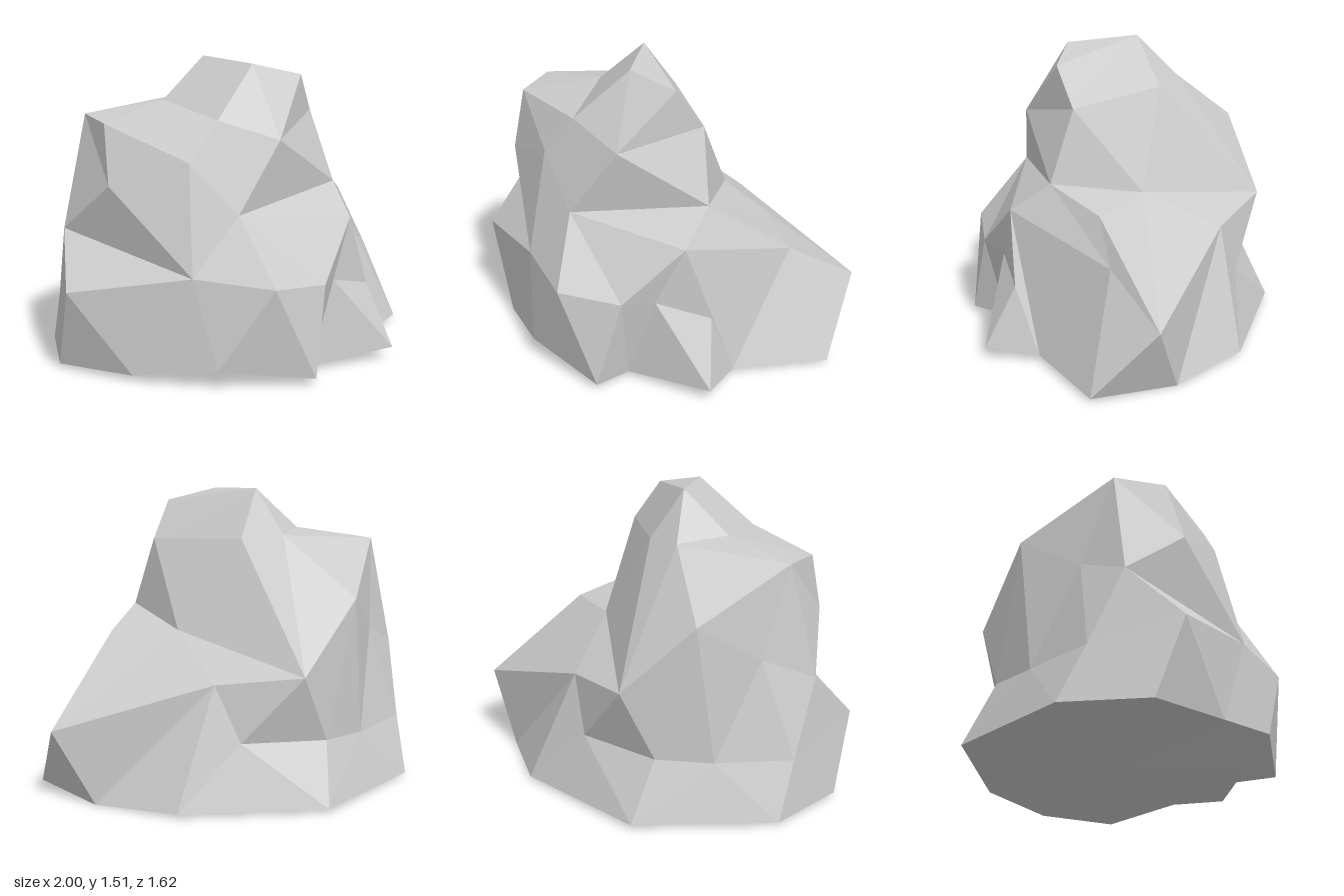
import * as THREE from 'three';

// Cross-sections of the boulder, each running from the right (+x) round the front (+z).
const base = [
  [0.82, 0, -0.17], [0.94, 0.02, 0.26], [0.5, 0.03, 0.48], [0.45, 0.06, 0.75],
  [0, 0.02, 0.64], [-0.11, 0.03, 0.81], [-0.53, 0.09, 0.59], [-0.79, 0.03, 0.25],
  [-0.97, 0.02, -0.14], [-0.79, 0.02, -0.53], [-0.13, 0.02, -0.81], [0.55, 0.02, -0.53],
];
const lower = [
  [1, 0.37, -0.06], [0.7, 0.57, 0.14], [0.28, 0.73, 0.6], [0.41, 0.37, 0.59],
  [0.14, 0.44, 0.64], [0, 0.46, 0.74], [-0.32, 0.49, 0.76], [-0.58, 0.52, 0.46],
  [-1, 0.42, 0], [-0.82, 0.3, -0.4], [-0.47, 0.3, -0.57], [-0.2, 0.32, -0.67],
  [0.22, 0.33, -0.56], [0.31, 0.61, -0.46],
];
const waist = [
  [0.31, 0.81, -0.06], [0.57, 0.79, 0.18], [0.34, 0.88, 0.4], [0.28, 0.73, 0.6],
  [-0.34, 0.8, 0.5], [-0.52, 1.05, 0.35], [-0.8, 0.93, 0.08], [-0.87, 0.68, -0.24],
  [-0.64, 0.79, -0.385], [-0.39, 1, -0.62], [-0.04, 0.66, -0.72],
];
const shoulder = [
  [0.01, 1.27, -0.18], [0.28, 1.24, 0.28], [-0.09, 1.14, 0.5], [-0.36, 1.24, 0.36],
  [-0.77, 1.22, 0], [-0.73, 1.24, -0.25], [-0.17, 1.29, -0.29],
];
const crown = [[-0.13, 1.51, -0.08], [0.16, 1.43, 0.35], [-0.09, 1.49, 0.28], [-0.37, 1.3, -0.09]];

export function createModel() {
  const positions = [];
  const tri = (...corners) => corners.forEach((p) => positions.push(...p));

  // Join two rings: L steps along the lower ring, U along the upper one.
  const stitch = (low, up, steps) => {
    let l = 0, u = 0;
    for (const step of steps) {
      const a = low[l % low.length], b = up[u % up.length];
      const c = step === 'L' ? low[++l % low.length] : up[++u % up.length];
      if (a === b || String(a) === String(b) || String(b) === String(c)) continue;
      if (step === 'L') tri(a, b, c);
      else tri(a, b, c);
    }
  };

  // Sides, from the ground up
  stitch(base, lower, 'LULUULULULULULULULULUULULU');
  stitch(lower, waist, 'ULULULLLULLUUULLULULULLUL');

  // Two ledges where the upper part steps back
  const [inner, right, corner, brow, front] = waist;
  tri(inner, corner, right);
  tri(corner, front, brow);
  const tower = waist.filter((p) => p !== right && p !== brow);
  stitch(tower, shoulder, 'ULULULULULLLULUL');
  stitch(shoulder, crown, 'LULULULLLUL');

  // Top
  tri(crown[0], crown[2], crown[1]);
  tri(crown[0], crown[3], crown[2]);

  // Underside
  base.forEach((p, i) => tri(p, base[(i + 1) % base.length], [0, 0.02, 0]));

  const geometry = new THREE.BufferGeometry();
  geometry.setAttribute('position', new THREE.Float32BufferAttribute(positions, 3));
  geometry.computeVertexNormals();

  const boulder = new THREE.Mesh(
    geometry,
    new THREE.MeshStandardMaterial({ color: 0xcccccc, flatShading: true }),
  );
  boulder.name = 'boulder';
  const group = new THREE.Group();
  group.name = 'rock';
  group.add(boulder);
  return group;
}
